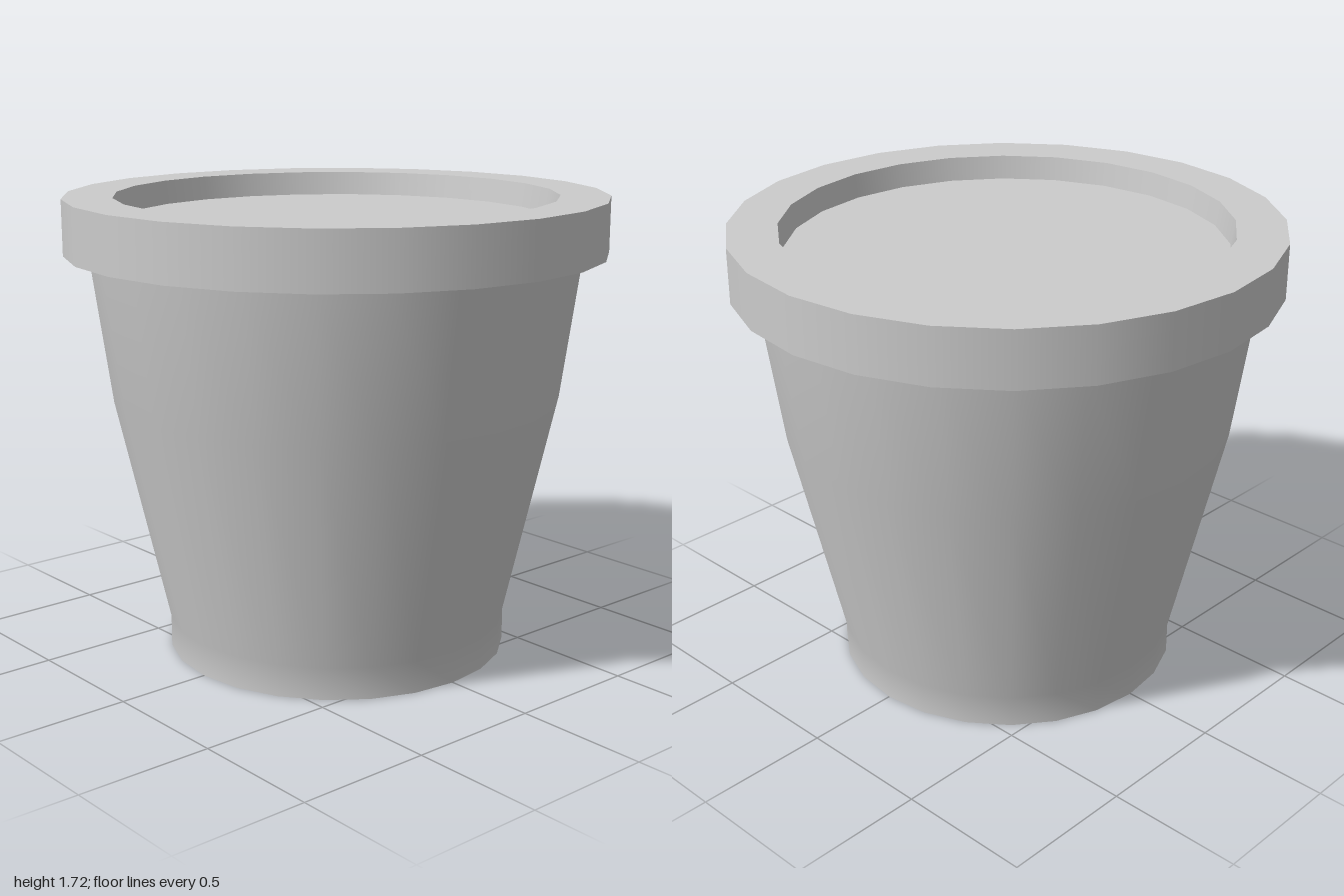
import * as THREE from 'three';

const SIDES = 24;
const material = new THREE.MeshStandardMaterial({ color: 0xcccccc });

// Revolve a smooth [radius, height] profile; separate bands keep hard edges between them
function band(name, profile) {
  const points = profile.map(([r, y]) => new THREE.Vector2(r, y));
  const mesh = new THREE.Mesh(new THREE.LatheGeometry(points, SIDES), material);
  mesh.name = name;
  return mesh;
}

export function createModel() {
  const model = new THREE.Group();
  model.name = 'flowerPot';

  // Tapered body with a short straight foot, closed underneath
  const body = new THREE.Group();
  body.name = 'body';
  body.add(
    band('base', [[0, 0], [0.645, 0]]),
    band('wall', [[0.645, 0], [0.645, 0.12], [0.835, 0.97], [0.907, 1.5]]),
  );

  // Thick overhanging rim
  const rim = new THREE.Group();
  rim.name = 'rim';
  rim.add(
    band('rimUnderside', [[0.907, 1.5], [1, 1.515]]),
    band('rimOutside', [[1, 1.515], [1, 1.72]]),
    band('rimTop', [[1, 1.72], [0.817, 1.72]]),
    band('rimInside', [[0.817, 1.72], [0.803, 1.63]]),
  );

  // Flat fill just below the rim
  const soil = band('soil', [[0.803, 1.63], [0, 1.63]]);

  model.add(body, rim, soil);
  return model;
}
